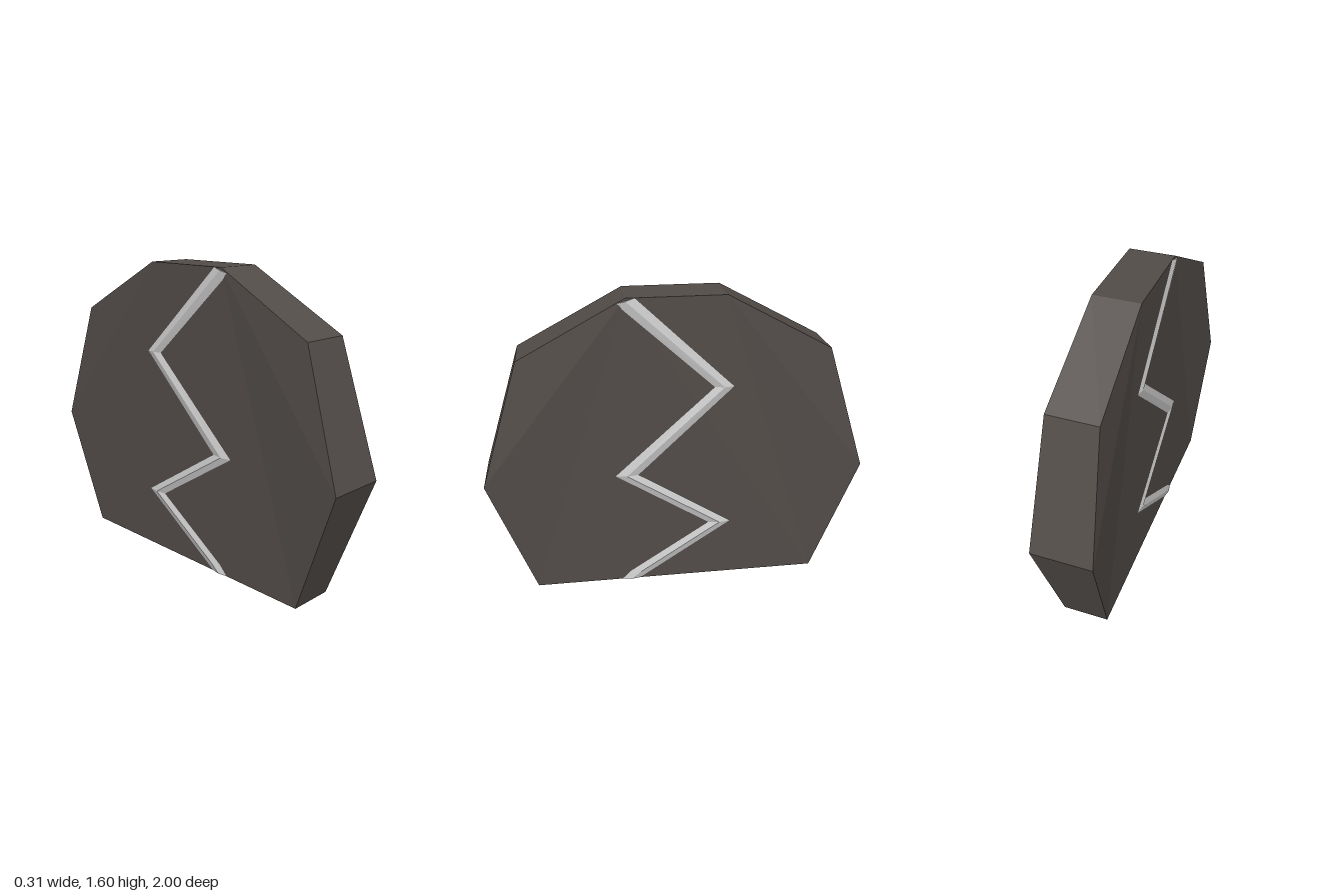
import * as THREE from 'three';

// Builds a flat-shaded mesh from triangles given as corner triples [x, y, z]
function facetMesh(name, triangles, color) {
  const geometry = new THREE.BufferGeometry();
  geometry.setAttribute('position', new THREE.Float32BufferAttribute(triangles.flat(2), 3));
  geometry.computeVertexNormals();
  const mesh = new THREE.Mesh(geometry, new THREE.MeshStandardMaterial({ color, flatShading: true }));
  mesh.name = name;
  return mesh;
}

// Mirrors triangles across x = 0, keeping them facing outward
const mirrorX = (triangles) =>
  triangles.map(([a, b, c]) => [a, c, b].map(([x, y, z]) => [-x, y, z]));

// Stone slab: eight-sided outline, thickest at its front and back corners
function createStone() {
  const half = [[0.157, 0.65, 1], [0.128, 1.31, 0.79], [0.12, 1.6, 0.25]];
  const foot = [0.12, 0, 0.77];
  const back = ([x, y, z]) => [x, y, -z];
  const [A, B, C] = half;
  const rim = [A, B, C, back(C), back(B), back(A), back(foot), foot];

  // Flat middle panel, with the side panels flaring outward
  const face = [
    [C, foot, back(foot)], [C, back(foot), back(C)],
    [A, foot, C], [A, C, B],
    [back(A), back(C), back(foot)], [back(A), back(B), back(C)],
  ];

  // Band joining the two faces
  const band = [];
  rim.forEach((p, i) => {
    const q = rim[(i + 1) % rim.length];
    const pm = [-p[0], p[1], p[2]], qm = [-q[0], q[1], q[2]];
    band.push([p, q, qm], [p, qm, pm]);
  });
  return facetMesh('stone', [...face, ...mirrorX(face), ...band], 0x524c48);
}

// Zigzag seam: a low ridge between a left and a right edge, as [z, y]
function seamTriangles() {
  const left = [[0.3, 1.572], [-0.19, 1.125], [0.33, 0.65], [-0.17, 0.33], [0.26, 0.05], [0.31, 0]];
  const right = [[0.2, 1.6], [-0.3, 1.125], [0.2, 0.65], [-0.3, 0.33], [0.14, 0.04], [0.2, 0]];
  const base = 0.119, crest = 0.13;
  const rows = left.map(([lz, ly], i) => {
    const [rz, ry] = right[i];
    return [[base, ly, lz], [crest, (ly + ry) / 2, (lz + rz) / 2], [base, ry, rz]];
  });
  const triangles = [];
  for (let i = 0; i + 1 < rows.length; i++) {
    for (let j = 0; j < 2; j++) {
      const a = rows[i][j], b = rows[i + 1][j], c = rows[i + 1][j + 1], d = rows[i][j + 1];
      triangles.push([a, b, c], [a, c, d]);
    }
  }
  // End caps
  const [l0, m0, r0] = rows[0];
  const [l1, m1, r1] = rows[rows.length - 1];
  triangles.push([l0, m0, r0], [l1, r1, m1]);
  return triangles;
}

export function createModel() {
  const model = new THREE.Group();
  model.name = 'crackedStone';
  const seam = seamTriangles();
  model.add(
    createStone(),
    facetMesh('leftSeam', seam, 0xcccccc),
    facetMesh('rightSeam', mirrorX(seam), 0xcccccc),
  );
  return model;
}
